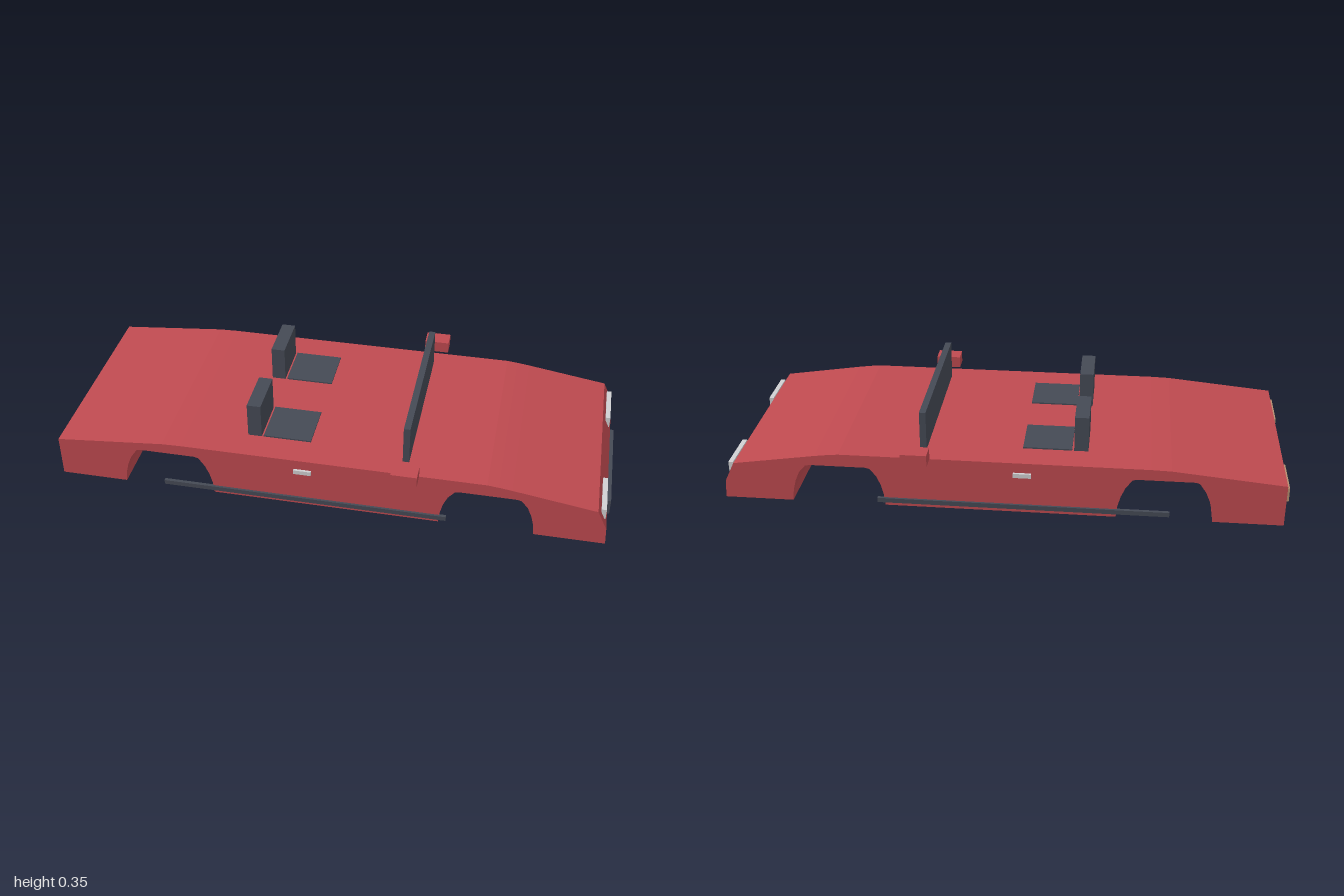
import * as THREE from 'three';

export function createModel() {
  const car = new THREE.Group();
  car.name = 'car';

  const mat = (name, color) => {
    const m = new THREE.MeshStandardMaterial({ color });
    m.name = name;
    return m;
  };
  const red = mat('body red', 0xbf4a50);
  const dark = mat('dark trim', 0x454a55);
  const silver = mat('silver', 0xd0d0d2);
  const amber = mat('tail lamp tan', 0xb58e70);

  // box from minimum and maximum corners
  const box = (name, material, [x0, x1], [y0, y1], [z0, z1]) => {
    const mesh = new THREE.Mesh(new THREE.BoxGeometry(x1 - x0, y1 - y0, z1 - z0), material);
    mesh.position.set((x0 + x1) / 2, (y0 + y1) / 2, (z0 + z1) / 2);
    mesh.name = name;
    car.add(mesh);
    return mesh;
  };
  // the same box on both sides of the car
  const pair = (name, material, xs, ys, [z0, z1]) => {
    box(name + 'Left', material, xs, ys, [z0, z1]);
    box(name + 'Right', material, xs, ys, [-z1, -z0]);
  };

  // body: side profile with two wheel arches, extruded across the width
  const arch = (cx, top) => {
    const half = [[0.167, 0.01], [0.163, 0.05], [0.153, 0.09], [0.138, 0.125], [0.115, top - 0.004], [0.1, top]];
    return [
      ...half.map(([dx, y]) => [cx + dx, y]),
      ...half.slice().reverse().map(([dx, y]) => [cx - dx, y]),
    ];
  };
  const profile = [
    [-0.983, 0.01], [-0.983, 0.164], [-0.59, 0.201], [-0.52, 0.203],
    [0.57, 0.203], [0.61, 0.199], [0.655, 0.193], [0.95, 0.148],
    [0.985, 0.075], [0.989, 0.01],
    ...arch(0.576, 0.156), ...arch(-0.572, 0.162),
  ];
  const shape = new THREE.Shape(profile.map(([x, y]) => new THREE.Vector2(x, y)));
  const bodyGeo = new THREE.ExtrudeGeometry(shape, { depth: 0.76, bevelEnabled: false });
  bodyGeo.translate(0, 0, -0.38);
  const body = new THREE.Mesh(bodyGeo, red);
  body.name = 'body';
  car.add(body);

  // cabin: windscreen and two seats
  box('windscreen', dark, [0.267, 0.29], [0.195, 0.346], [-0.31, 0.31]);
  pair('seatBack', dark, [-0.3, -0.25], [0.195, 0.333], [0.093, 0.268]);
  pair('seatCushion', dark, [-0.243, -0.07], [0.195, 0.208], [0.093, 0.268]);

  // side details
  pair('mirror', red, [0.245, 0.336], [0.208, 0.251], [0.384, 0.447]);
  pair('doorHandle', silver, [-0.108, -0.045], [0.15, 0.166], [0.376, 0.389]);
  pair('sill', dark, [-0.59, 0.436], [0.024, 0.041], [0.376, 0.388]);

  // front end
  pair('headlight', silver, [0.962, 0.979], [0.094, 0.135], [0.177, 0.349]);
  box('frontBumper', dark, [0.978, 1], [0, 0.058], [-0.209, 0.209]);

  // rear end
  pair('tailLight', amber, [-0.995, -0.98], [0.088, 0.14], [0.177, 0.349]);
  box('numberPlate', silver, [-1, -0.98], [0.05, 0.1], [-0.065, 0.065]);

  return car;
}
